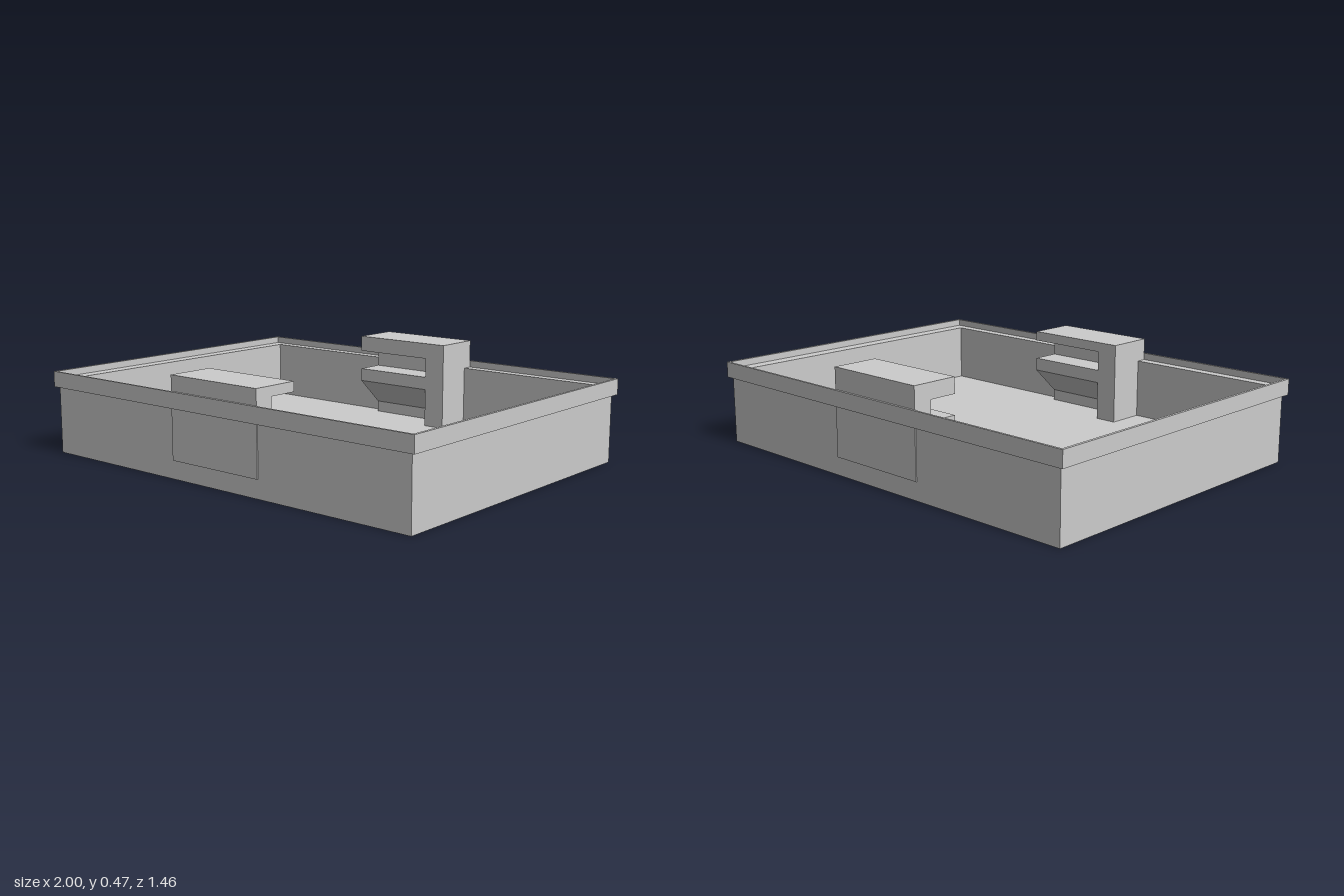
import * as THREE from 'three';

const material = new THREE.MeshStandardMaterial({ color: 0xcccccc, flatShading: true });

function addMesh(parent, name, geometry) {
  const mesh = new THREE.Mesh(geometry, material);
  mesh.name = name;
  parent.add(mesh);
  return mesh;
}

function box(x0, x1, y0, y1, z0, z1) {
  return new THREE.BoxGeometry(x1 - x0, y1 - y0, z1 - z0)
    .translate((x0 + x1) / 2, (y0 + y1) / 2, (z0 + z1) / 2);
}

function rectangle(PathType, halfX, halfZ) {
  return new PathType([[-1, -1], [1, -1], [1, 1], [-1, 1]]
    .map(([x, z]) => new THREE.Vector2(x * halfX, z * halfZ)));
}

// Rectangular ring standing between y0 and y1
function frame(outer, inner, y0, y1) {
  const shape = rectangle(THREE.Shape, ...outer);
  shape.holes.push(rectangle(THREE.Path, ...inner));
  return new THREE.ExtrudeGeometry(shape, { depth: y1 - y0, bevelEnabled: false })
    .rotateX(-Math.PI / 2).translate(0, y0, 0);
}

// Clip against the back wall: slab, sloped jaw and back plate, closed by a post at one end
function createClip(name, top) {
  const clip = new THREE.Group();
  clip.name = name;
  const back = -0.72, web = -0.635, front = -0.505;
  const profile = new THREE.Shape([
    [back, 0.08], [web, 0.08], [web, 0.13], [front, 0.25], [front, 0.308],
    [web, 0.308], [web, 0.395], [front, 0.395], [front, top], [back, top],
  ].map(([z, y]) => new THREE.Vector2(z, y)));
  const jaw = new THREE.ExtrudeGeometry(profile, { depth: 0.38, bevelEnabled: false })
    .rotateY(-Math.PI / 2).translate(0.14, 0, 0);
  addMesh(clip, 'clipJaws', jaw);
  addMesh(clip, 'clipEndPost', box(0.14, 0.24, 0.08, top, back, front));
  return clip;
}

export function createModel() {
  const model = new THREE.Group();
  model.name = 'tray';

  // Open tray
  const body = [0.98, 0.715], cavity = [0.93, 0.675];
  const rim = [1, 0.73], lip = [0.988, 0.72];
  addMesh(model, 'floor', box(-0.98, 0.98, 0, 0.08, -0.715, 0.715));
  addMesh(model, 'walls', frame(body, cavity, 0.08, 0.3));

  // Overhanging rim with a recessed ledge inside
  addMesh(model, 'rimLedge', frame(rim, cavity, 0.3, 0.34));
  addMesh(model, 'rimLip', frame(rim, lip, 0.34, 0.37));

  // Facing pair of clips, the front one turned around and lower
  model.add(createClip('backClip', 0.465));
  const frontClip = createClip('frontClip', 0.438);
  frontClip.rotation.y = Math.PI;
  model.add(frontClip);

  return model;
}
